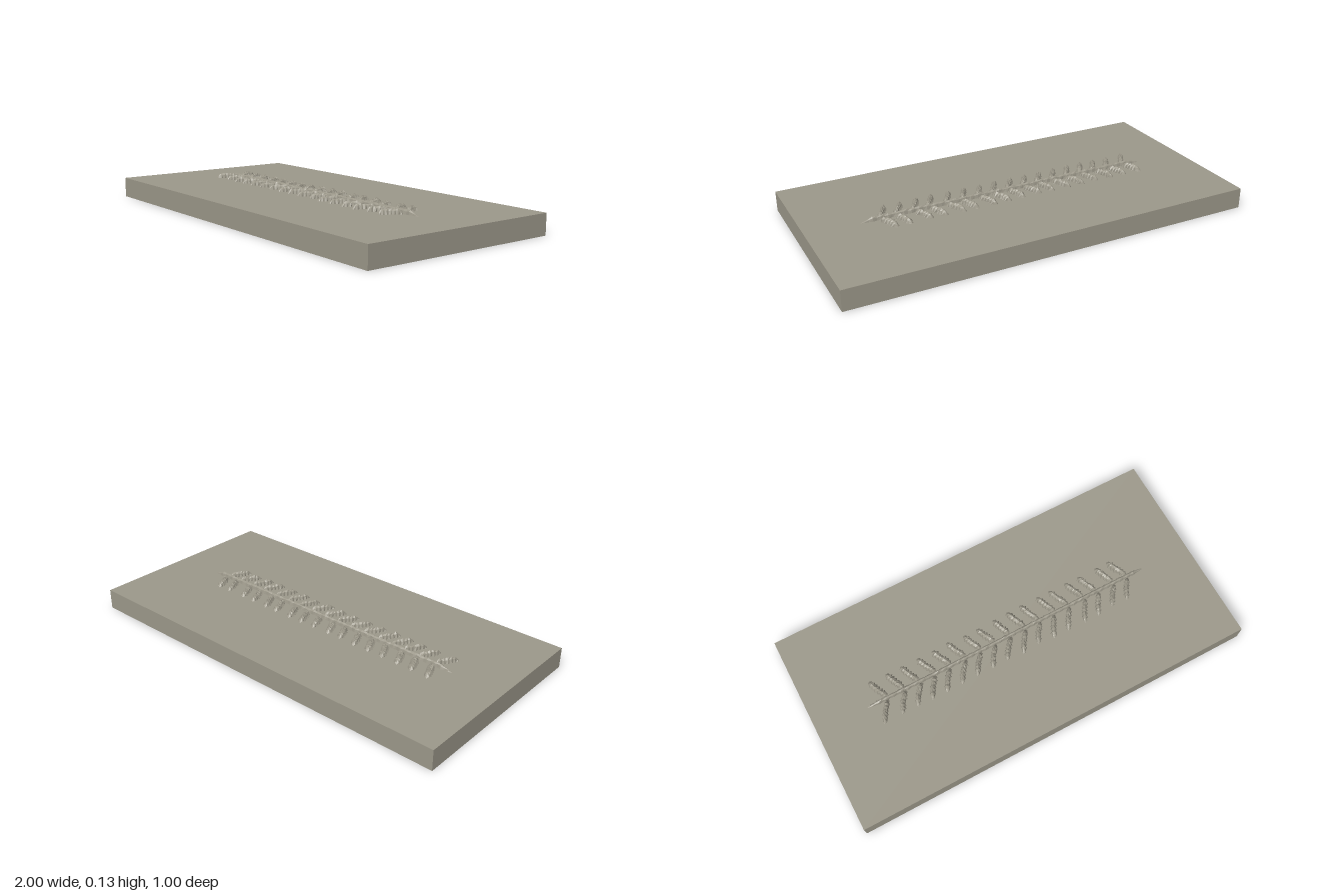
import * as THREE from 'three';

const SLAB_TOP = 0.1;

// Repeatable noise for the chipped stone surface
let seed = 7;
function rand() {
  seed = (seed * 16807) % 2147483647;
  return seed / 2147483647;
}
const jitter = (a) => (rand() - 0.5) * 2 * a;

// Raised rough ridge along a path of [x, z] points, tapering into the slab
function ridge(points, halfWidth, height, segments, taper, rough) {
  const curve = new THREE.CatmullRomCurve3(points.map(([x, z]) => new THREE.Vector3(x, 0, z)));
  const profile = [[-1, 0], [-0.6, 0.7], [0, 1], [0.6, 0.7], [1, 0]];
  const n = profile.length;
  const pos = [], index = [];
  for (let i = 0; i <= segments; i++) {
    const u = i / segments;
    const p = curve.getPointAt(u), t = curve.getTangentAt(u);
    const fade = Math.min(1, Math.min(u, 1 - u) / taper);
    const scallop = i % 2 ? 1 : 1 - rough;
    const w = halfWidth * (0.2 + 0.8 * Math.sqrt(fade)) * scallop;
    for (const [s, h] of profile) {
      const across = s * w * (1 + jitter(rough * 0.4));
      const y = h === 0 ? -0.002 : height * fade * h * (1 - rand() * rough * 0.7);
      pos.push(p.x - t.z * across, SLAB_TOP + y, p.z + t.x * across);
    }
  }
  for (let i = 0; i < segments; i++) {
    for (let j = 0; j < n - 1; j++) {
      const a = i * n + j;
      index.push(a, a + 1, a + n, a + 1, a + n + 1, a + n);
    }
  }
  const indexed = new THREE.BufferGeometry();
  indexed.setAttribute('position', new THREE.Float32BufferAttribute(pos, 3));
  indexed.setIndex(index);
  const geometry = indexed.toNonIndexed();
  geometry.computeVertexNormals();
  return geometry;
}

export function createModel() {
  seed = 7;
  const model = new THREE.Group();
  model.name = 'fossilSlab';
  const stone = new THREE.MeshStandardMaterial({ color: 0x9c988a });
  stone.name = 'stone';

  const add = (name, geometry, parent = model) => {
    const mesh = new THREE.Mesh(geometry, stone);
    mesh.name = name;
    parent.add(mesh);
    return mesh;
  };

  // Stone slab
  add('slab', new THREE.BoxGeometry(2, SLAB_TOP, 1)).position.y = SLAB_TOP / 2;

  // Long central spine
  add('spine', ridge([[-0.745, 0], [-0.3, 0.001], [0.3, -0.001], [0.745, 0]], 0.012, 0.023, 80, 0.04, 0.3));

  // Swept ribs in pairs, tips leaning toward -x
  const ribs = new THREE.Group();
  ribs.name = 'ribs';
  model.add(ribs);
  const count = 17;
  for (let i = 0; i < count; i++) {
    const root = -0.635 + (i * 1.29) / (count - 1);
    for (const side of [-1, 1]) {
      const x = root + jitter(0.008);
      const sweep = (side < 0 ? 0.045 : 0.065) + jitter(0.007);
      const reach = 0.108 + jitter(0.006);
      const path = [
        [x, side * 0.008],
        [x - sweep * 0.55, side * reach * 0.5],
        [x - sweep, side * reach],
      ];
      const halfWidth = side < 0 ? 0.02 : 0.016;
      add(side < 0 ? 'backRib' : 'frontRib', ridge(path, halfWidth, 0.026, 14, 0.18, 0.35), ribs);
    }
  }
  return model;
}
